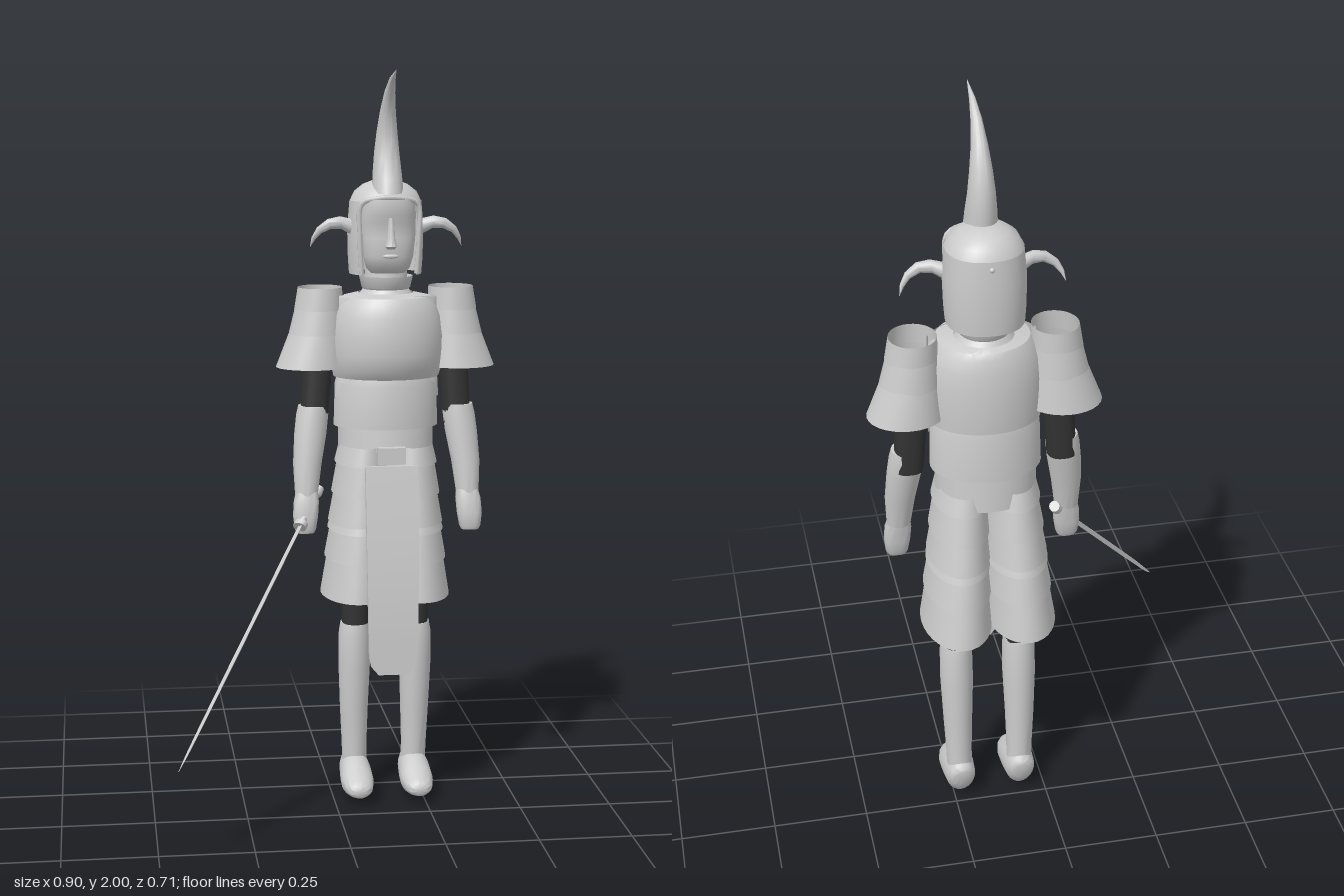
import * as THREE from 'three';
import { toCreasedNormals } from 'three/addons/utils/BufferGeometryUtils.js';

const V = (x, y, z) => new THREE.Vector3(x, y, z);
const CX = 0.148; // body axis

// Skin cross-sections {c, u, v} (centre and two half axes); arc a0..a1 in degrees
function loft(secs, { sides = 24, a0 = 0, a1 = 360, pow = 1, crease = 0.7, cap = false } = {}) {
  const m = Math.min(Math.max(1, secs.length >> 1), secs.length - 1);
  const dir = secs[m].c.clone().sub(secs[m - 1].c);
  const r = secs.find((s) => s.u.length() > 1e-4);
  const sign = r.u.clone().cross(r.v).dot(dir) > 0 ? -1 : 1;
  if (cap) {
    const end = (s) => ({ c: s.c, u: V(0, 0, 0), v: V(0, 0, 0) });
    secs = [end(secs[0]), ...secs, end(secs[secs.length - 1])];
  }
  const full = a1 - a0 === 360, n = full ? sides : sides + 1, pos = [], idx = [];
  const bend = (t) => Math.sign(t) * Math.abs(t) ** pow;
  for (const s of secs) for (let j = 0; j < n; j++) {
    const a = THREE.MathUtils.degToRad(a0 + (a1 - a0) * j / sides);
    const p = s.c.clone().addScaledVector(s.u, bend(Math.cos(a))).addScaledVector(s.v, sign * bend(Math.sin(a)));
    pos.push(p.x, p.y, p.z);
  }
  for (let i = 0; i < secs.length - 1; i++) for (let j = 0; j < sides; j++) {
    const a = i * n + j, b = i * n + (j + 1) % n;
    idx.push(a, a + n, b, b, a + n, b + n);
  }
  const g = new THREE.BufferGeometry();
  g.setAttribute('position', new THREE.Float32BufferAttribute(pos, 3));
  g.setIndex(idx);
  return toCreasedNormals(g, crease);
}
// Horizontal rows [y, x, z, rx, rz], listed upwards
const rows = (list) => list.map(([y, x, z, rx, rz]) => ({ c: V(x, y, z), u: V(rx, 0, 0), v: V(0, 0, rz) }));
// Rows [y, rx, zFront, zBack] centred on the body
const body = (list) => rows(list.map(([y, rx, f, b]) => [y, 0, (f + b) / 2, rx, (f - b) / 2]));

export function createModel() {
  const root = new THREE.Group();
  const figure = new THREE.Group();
  figure.name = 'warrior';
  figure.position.x = CX;
  root.add(figure);

  const armour = new THREE.MeshStandardMaterial({ color: 0xcccccc, side: THREE.DoubleSide });
  armour.name = 'pale armour';
  const cloth = new THREE.MeshStandardMaterial({ color: 0x333333, side: THREE.DoubleSide });
  cloth.name = 'dark cloth';
  const add = (name, geo, mat = armour, parent = figure) => {
    const mesh = new THREE.Mesh(geo, mat);
    mesh.name = name;
    parent.add(mesh);
    return mesh;
  };

  // Cuirass, waist bands and neck
  add('cuirass', loft(body([[1.185, 0.143, -0.07, -0.3], [1.21, 0.149, -0.05, -0.302], [1.25, 0.152, -0.042, -0.304],
    [1.3, 0.152, -0.04, -0.304], [1.35, 0.145, -0.046, -0.3], [1.385, 0.13, -0.055, -0.293],
    [1.402, 0.118, -0.066, -0.285], [1.41, 0.075, -0.115, -0.268]]), { sides: 32 }));
  add('waistBand', loft(body([[1.05, 0.142, -0.076, -0.304], [1.165, 0.139, -0.074, -0.302], [1.19, 0.132, -0.08, -0.298]]), { sides: 32 }));
  add('lowerWaist', loft(body([[0.96, 0.13, -0.076, -0.3], [1.055, 0.13, -0.085, -0.295]]), { sides: 32 }));
  for (const y of [1.13, 1.2, 1.27, 1.34])
    add('backBand', loft(body([[y, 0.15, -0.09, -0.312], [y + 0.06, 0.146, -0.09, -0.306], [y + 0.065, 0.138, -0.09, -0.295]]),
      { a0: 20, a1: 160, sides: 20 }));
  add('neck', loft(body([[1.38, 0.062, -0.13, -0.25], [1.52, 0.055, -0.14, -0.25]])));
  add('collar', loft(body([[1.395, 0.08, -0.11, -0.272], [1.42, 0.062, -0.125, -0.256],
    [1.425, 0.066, -0.12, -0.26], [1.455, 0.073, -0.114, -0.268]])));

  // Helmet: open-faced sides below a full dome
  const hz = -0.206;
  add('helmetSides', loft(rows([[1.46, 0, hz, 0.097, 0.1], [1.5, 0, hz, 0.1, 0.103], [1.58, 0, hz, 0.102, 0.105],
    [1.655, 0, hz, 0.096, 0.1]]), { a0: 137, a1: 403, pow: 0.9, sides: 32 }));
  add('helmetDome', loft(rows([[1.653, 0, hz, 0.096, 0.1], [1.68, 0, hz, 0.083, 0.088], [1.698, 0, hz - 0.003, 0.06, 0.065],
    [1.708, 0, hz - 0.005, 0.034, 0.037], [1.711, 0, hz - 0.006, 0, 0]]), { pow: 0.92, sides: 32 }));
  const rim = [[-0.074, 1.465, -0.128], [-0.079, 1.56, -0.125], [-0.075, 1.65, -0.12], [-0.035, 1.665, -0.106],
    [0.035, 1.665, -0.106], [0.075, 1.65, -0.12], [0.079, 1.56, -0.125], [0.074, 1.465, -0.128]].map((p) => V(...p));
  add('helmetRim', new THREE.TubeGeometry(new THREE.CatmullRomCurve3(rim), 40, 0.007, 6));
  add('helmetStud', new THREE.SphereGeometry(0.007, 10, 8)).position.set(0, 1.635, -0.306);

  // Face mask with brow, nose, lips and chin
  add('faceMask', loft(body([[1.465, 0.045, -0.128, -0.2], [1.478, 0.058, -0.108, -0.2], [1.51, 0.067, -0.099, -0.2],
    [1.56, 0.072, -0.096, -0.2], [1.6, 0.073, -0.1, -0.2], [1.62, 0.073, -0.088, -0.2], [1.662, 0.07, -0.092, -0.2]]),
    { pow: 0.85, sides: 32, crease: 1.2, cap: true }));
  add('nose', loft(rows([[1.532, 0, -0.095, 0.01, 0.005], [1.54, 0, -0.092, 0.016, 0.02], [1.56, 0, -0.093, 0.011, 0.014],
    [1.615, 0, -0.093, 0.007, 0.01]]), { sides: 12, cap: true }));
  add('lips', new THREE.SphereGeometry(1, 14, 8)).scale.set(0.022, 0.006, 0.006);
  figure.children.at(-1).position.set(0, 1.513, -0.098);

  // Crest horn: pairs of back and front edge points [y, z] with a half width
  const crest = [[1.69, -0.222, 1.675, -0.1, 0.042], [1.74, -0.226, 1.715, -0.115, 0.039], [1.795, -0.224, 1.765, -0.138, 0.034],
    [1.85, -0.21, 1.82, -0.145, 0.028], [1.905, -0.184, 1.875, -0.14, 0.021], [1.953, -0.143, 1.93, -0.112, 0.014],
    [1.983, -0.087, 1.968, -0.072, 0.008], [2, -0.012, 1.999, -0.011, 0.0005]];
  add('crestHorn', loft(crest.map(([by, bz, fy, fz, w]) => ({
    c: V(0, (by + fy) / 2, (bz + fz) / 2), u: V(0, (by - fy) / 2, (bz - fz) / 2), v: V(w, 0, 0) })), { sides: 20, cap: true }));

  // Front apron: curved panel with rounded lower end
  const apron = new THREE.BoxGeometry(0.142, 0.565, 0.014, 10, 24, 1);
  const ap = apron.attributes.position;
  for (let i = 0; i < ap.count; i++) {
    const y = ap.getY(i) + 0.6725, t = (0.955 - y) / 0.565, d = Math.min(1, (y - 0.39) / 0.06);
    const w = (1 - 0.09 * t * t) * (0.62 + 0.38 * Math.sqrt(Math.max(0, 1 - (1 - d) ** 2)));
    ap.setXYZ(i, ap.getX(i) * w, y, ap.getZ(i) - 0.066 + 0.045 * Math.sin(Math.min(1, t * 1.15) * Math.PI / 2));
  }
  apron.deleteAttribute('uv');
  add('frontApron', toCreasedNormals(apron, 0.6));
  add('buckle', new THREE.BoxGeometry(0.075, 0.045, 0.03)).position.set(0, 0.982, -0.072);

  for (const s of [1, -1]) {
    const half = new THREE.Group();
    half.name = s > 0 ? 'leftSide' : 'rightSide';
    figure.add(half);
    const put = (name, geo, mat = armour) => add(name, geo, mat, half);

    // Side horn curving out and down
    const horn = [[0.09, 1.585, -0.185, 0.021], [0.125, 1.598, -0.177, 0.017], [0.155, 1.595, -0.172, 0.014],
      [0.182, 1.578, -0.175, 0.01], [0.197, 1.556, -0.182, 0.006], [0.205, 1.533, -0.19, 0.0005]];
    put('sideHorn', loft(horn.map(([x, y, z, r], i) => {
      const a = -0.2 + i * 0.29;
      return { c: V(s * x, y, z), u: V(s * r * Math.sin(a), r * Math.cos(a), 0), v: V(0, 0, r * 0.9) };
    }), { sides: 14 }));

    // Shoulder guard: three flared open tiers
    const guard = [[1.365, 1.425, 0.182, 0.066, 0.07, 0.178, 0.06, 0.066], [1.3, 1.372, 0.187, 0.076, 0.078, 0.181, 0.064, 0.069],
      [1.21, 1.307, 0.2, 0.098, 0.091, 0.187, 0.073, 0.075]];
    for (const [y0, y1, x0, rx0, rz0, x1, rx1, rz1] of guard)
      put('shoulderGuard', loft(rows([[y0, s * x0, -0.195, rx0, rz0], [y1, s * x1, -0.197, rx1, rz1]]), { sides: 28 }));

    // Arm: dark sleeve, plated forearm, hand
    put('upperArm', loft(rows([[1.05, s * 0.197, -0.188, 0.037, 0.041], [1.21, s * 0.186, -0.195, 0.04, 0.044],
      [1.35, s * 0.178, -0.198, 0.044, 0.045]]), { pow: 0.8, cap: true }), cloth);
    put('forearm', loft(rows([[0.865, s * 0.221, -0.147, 0.031, 0.03], [0.95, s * 0.217, -0.16, 0.039, 0.037],
      [1.03, s * 0.207, -0.176, 0.044, 0.043], [1.08, s * 0.201, -0.184, 0.044, 0.045], [1.105, s * 0.198, -0.187, 0.041, 0.044]]), { cap: true }));
    put('hand', loft(rows([[0.765, s * 0.226, -0.13, 0.024, 0.02], [0.775, s * 0.226, -0.131, 0.029, 0.025],
      [0.81, s * 0.225, -0.135, 0.034, 0.028], [0.85, s * 0.222, -0.141, 0.034, 0.029], [0.875, s * 0.22, -0.147, 0.029, 0.027]]),
      { pow: 0.75, cap: true }));

    // Skirt half: overlapping flared tiers
    const tier = (y, grow) => {
      const t = (0.99 - y) / 0.41;
      return [y, s * (0.065 + 0.02 * t), -0.184 - 0.011 * t, 0.066 + 0.022 * t + grow, 0.112 + 0.04 * t + grow];
    };
    for (const [y0, y1] of [[0.95, 1.0], [0.865, 0.958], [0.785, 0.873], [0.765, 0.8], [0.685, 0.772], [0.58, 0.693]])
      put('skirtTier', loft(rows([tier(y0, 0.004), tier(y1, -0.003)]), { sides: 32 }));

    // Leg: dark thigh, greave, shoe
    put('thigh', loft(rows([[0.47, s * 0.083, -0.187, 0.036, 0.045], [0.58, s * 0.083, -0.185, 0.038, 0.048],
      [0.78, s * 0.078, -0.185, 0.05, 0.06]]), { pow: 0.85, cap: true }), cloth);
    put('greave', loft(rows([[0.09, s * 0.083, -0.198, 0.034, 0.038], [0.15, s * 0.084, -0.196, 0.035, 0.039],
      [0.25, s * 0.085, -0.194, 0.039, 0.044], [0.38, s * 0.085, -0.188, 0.044, 0.052], [0.47, s * 0.085, -0.186, 0.043, 0.052],
      [0.497, s * 0.084, -0.186, 0.039, 0.049]]), { cap: true }));
    const shoe = [[-0.252, 0.1, 0.012, 0.015], [-0.243, 0.085, 0.034, 0.03], [-0.215, 0.07, 0.055, 0.04], [-0.165, 0.062, 0.058, 0.044],
      [-0.12, 0.053, 0.042, 0.045], [-0.08, 0.047, 0.026, 0.037], [-0.06, 0.045, 0.018, 0.026], [-0.054, 0.045, 0.01, 0.014]];
    put('shoe', loft(shoe.map(([z, y, h, w]) => ({ c: V(s * 0.083, y, z), u: V(w, 0, 0), v: V(0, h, 0) })), { crease: 1, cap: true }));
  }

  // Sword held in the right hand, pointing forward and down
  const sword = new THREE.Group();
  sword.name = 'sword';
  root.add(sword);
  const start = V(-0.095, 0.79, -0.1), tip = V(-0.45, 0.265, 0.355);
  const d = tip.clone().sub(start).normalize();
  const w = V(0, 0, 1).addScaledVector(d, -d.z).normalize(), k = d.clone().cross(w);
  const along = (list, opt) => loft(list.map(([t, a, b]) => ({
    c: start.clone().lerp(tip, t), u: w.clone().multiplyScalar(a), v: k.clone().multiplyScalar(b) })), opt);
  add('blade', along([[0, 0.016, 0.005], [0.6, 0.016, 0.005], [0.85, 0.014, 0.004], [0.94, 0.009, 0.003], [1, 0.0005, 0.0005]],
    { sides: 4, crease: 0.3, cap: true }), armour, sword);
  add('handGuard', along([[-0.012, 0.023, 0.018], [0.006, 0.023, 0.018]], { sides: 16, cap: true }), armour, sword);
  add('grip', along([[-0.15, 0.011, 0.01], [-0.01, 0.011, 0.01]], { sides: 12 }), armour, sword);
  add('pommel', along([[-0.168, 0.015, 0.014], [-0.145, 0.018, 0.016], [-0.135, 0.014, 0.013]], { sides: 12, cap: true }), armour, sword);
  return root;
}
